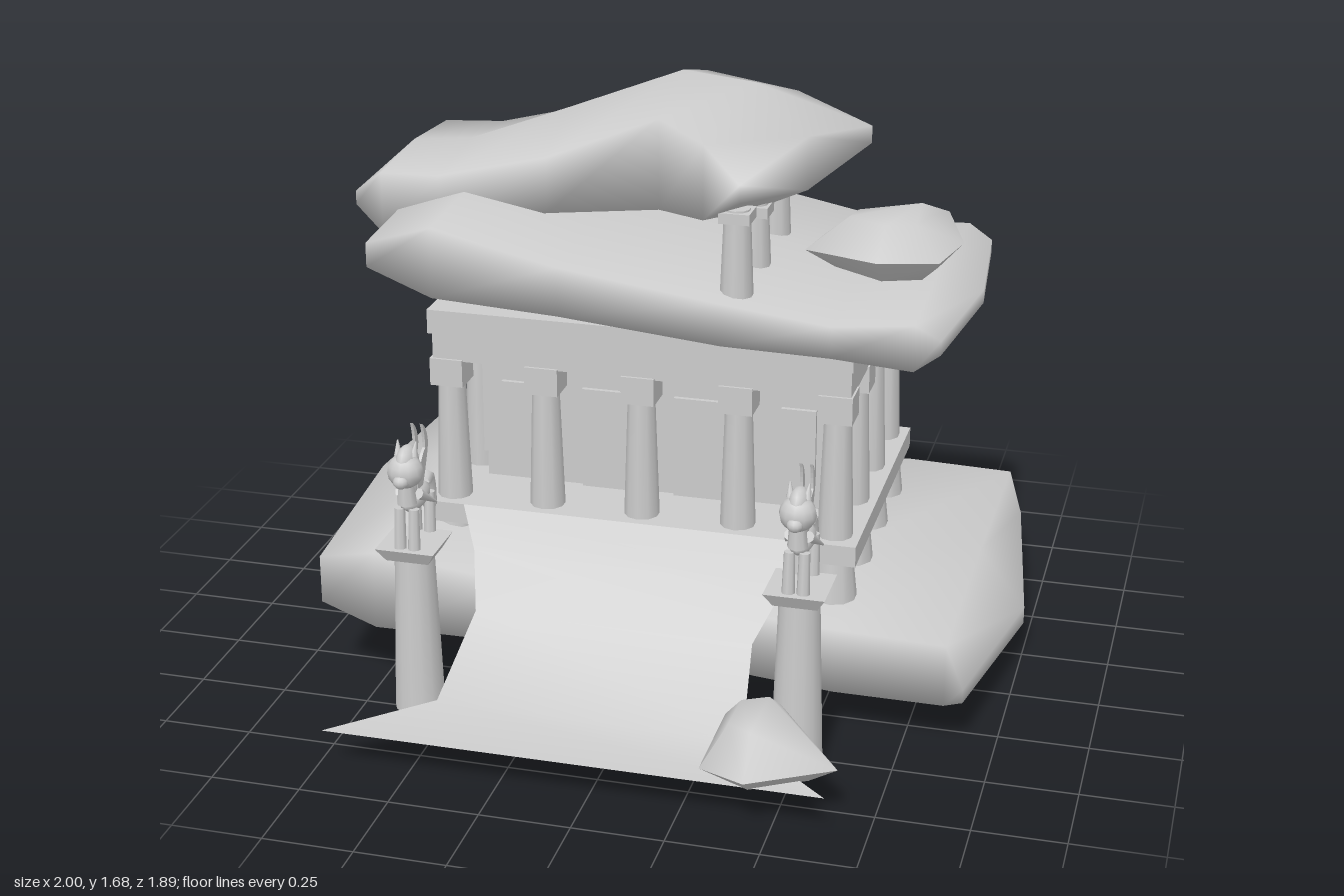
import * as THREE from 'three';
import { toCreasedNormals } from 'three/addons/utils/BufferGeometryUtils.js';
import { ConvexGeometry } from 'three/addons/geometries/ConvexGeometry.js';

const stone = new THREE.MeshStandardMaterial({ color: 0xcccccc });
const sheet = new THREE.MeshStandardMaterial({ color: 0xcccccc, side: THREE.DoubleSide });

function add(parent, name, geometry, x = 0, y = 0, z = 0, material = stone) {
  const mesh = new THREE.Mesh(geometry, material);
  mesh.name = name;
  mesh.position.set(x, y, z);
  parent.add(mesh);
  return mesh;
}

// Box given by its limits on each axis
function block(parent, name, x0, x1, y0, y1, z0, z1) {
  add(parent, name, new THREE.BoxGeometry(x1 - x0, y1 - y0, z1 - z0),
    (x0 + x1) / 2, (y0 + y1) / 2, (z0 + z1) / 2);
}

// Smooth rough slab: six-point sections [frontX, frontZ, backX, backZ, top, ridge, side, keel, bow]
function slab(parent, name, stations) {
  const pos = [], index = [], n = 6;
  for (const [fx, fz, bx, bz, top, ridge, side, keel, bow = 0] of stations) {
    const mx = (fx + bx) / 2 + bow, mz = (fz + bz) / 2;
    pos.push(fx, top, fz, mx, ridge, mz, bx, top, bz, bx, side, bz, mx, keel, mz, fx, side, fz);
  }
  const last = (stations.length - 1) * n;
  for (let i = 0; i < last; i += n) {
    for (let j = 0; j < n; j++) {
      const a = i + j, b = i + (j + 1) % n;
      index.push(a, a + n, b + n, a, b + n, b);
    }
  }
  // End caps, split along the middle
  for (const [a, b, c] of [[0, 1, 4], [0, 4, 5], [1, 2, 3], [1, 3, 4]]) {
    index.push(a, b, c, last + a, last + c, last + b);
  }
  const g = new THREE.BufferGeometry();
  g.setAttribute('position', new THREE.Float32BufferAttribute(pos, 3));
  g.setIndex(index);
  g.computeVertexNormals();
  add(parent, name, g);
}

// Floating boulder: a waist outline, drawn in towards a top and a bottom
function boulder(parent, name, outline, top, bottom) {
  const waist = outline.map(p => new THREE.Vector3(...p));
  const mid = new THREE.Vector3();
  waist.forEach(p => mid.addScaledVector(p, 1 / waist.length));
  const ring = (k, y) => waist.map(p => {
    const q = p.clone().lerp(mid, k);
    q.y = y + (p.y - mid.y) * 0.3;
    return q;
  });
  const points = [...waist, ...ring(0.5, top - 0.01), ...ring(0.35, bottom + 0.01)];
  add(parent, name, toCreasedNormals(new ConvexGeometry(points), 1.3));
}

// Tapered rod between two points
function limb(parent, name, a, b, r0, r1) {
  const p = new THREE.Vector3(...a), d = new THREE.Vector3(...b).sub(p);
  const m = add(parent, name, new THREE.CylinderGeometry(r1, r0, d.length(), 8));
  m.position.copy(p).addScaledVector(d, 0.5);
  m.quaternion.setFromUnitVectors(new THREE.Vector3(0, 1, 0), d.normalize());
}

function ball(parent, name, x, y, z, sx, sy, sz) {
  add(parent, name, new THREE.SphereGeometry(1, 12, 8), x, y, z).scale.set(sx, sy, sz);
}

// Winged horse standing at the group's origin, facing +z
function createStatue() {
  const s = new THREE.Group();
  s.name = 'wingedHorseStatue';
  ball(s, 'body', 0, 0.125, -0.02, 0.034, 0.034, 0.08);
  limb(s, 'neck', [0, 0.13, 0.04], [0, 0.21, 0.045], 0.028, 0.02);
  ball(s, 'head', 0, 0.225, 0.045, 0.05, 0.048, 0.046);
  ball(s, 'muzzle', 0, 0.208, 0.08, 0.022, 0.02, 0.022);
  ball(s, 'mane', 0, 0.245, 0.03, 0.03, 0.048, 0.05);
  ball(s, 'hairBack', 0, 0.18, 0.01, 0.02, 0.06, 0.022);
  for (const side of [-1, 1]) {
    limb(s, 'ear', [side * 0.022, 0.265, 0.035], [side * 0.026, 0.305, 0.025], 0.012, 0.002);
    for (const z of [0.045, -0.08]) {
      limb(s, 'leg', [side * 0.02, 0.115, z], [side * 0.02, 0, z + 0.008], 0.015, 0.018);
    }
    // Raised wing
    const wing = new THREE.Shape();
    wing.moveTo(0.01, 0.14);
    wing.quadraticCurveTo(-0.02, 0.235, -0.065, 0.25);
    wing.quadraticCurveTo(-0.065, 0.29, -0.05, 0.325);
    wing.quadraticCurveTo(-0.085, 0.3, -0.088, 0.255);
    wing.quadraticCurveTo(-0.07, 0.2, -0.03, 0.14);
    const w = add(s, 'wing', new THREE.ExtrudeGeometry(wing, { depth: 0.008, bevelEnabled: false, curveSegments: 5 }),
      side * 0.014 + 0.004);
    w.rotation.y = -Math.PI / 2;
    limb(s, 'lowerFeather', [side * 0.025, 0.15, 0.02], [side * 0.05, 0.1, -0.05], 0.016, 0.003);
  }
  const tail = new THREE.CatmullRomCurve3([[0, 0.135, -0.085], [0, 0.145, -0.11], [0, 0.105, -0.128], [0, 0.055, -0.128]]
    .map(p => new THREE.Vector3(...p)));
  add(s, 'tail', new THREE.TubeGeometry(tail, 10, 0.022, 8));
  limb(s, 'tailTip', [0, 0.06, -0.128], [0, 0.01, -0.142], 0.022, 0.002);
  return s;
}

export function createModel() {
  const model = new THREE.Group();
  model.name = 'ruinedTemple';

  // Rock island under the temple
  slab(model, 'baseRock', [
    [-0.9, 0.43, -0.9, -0.94, 0.4, 0.38, 0.26, 0.22, -0.07],
    [-0.74, 0.43, -0.7, -0.95, 0.43, 0.46, 0.2, 0.05],
    [-0.36, 0.33, -0.35, -0.81, 0.34, 0.4, 0.15, 0.05],
    [0.1, 0.28, 0.1, -0.79, 0.31, 0.36, 0.13, 0.04],
    [0.55, 0.33, 0.55, -0.88, 0.31, 0.32, 0.12, 0.02],
    [0.86, 0.35, 0.87, -0.86, 0.31, 0.32, 0.13, 0],
    [0.91, 0.34, 0.91, -0.85, 0.18, 0.15, 0.14, 0.1, 0.09]]);

  // Broken lower roof
  slab(model, 'lowerRoof', [
    [-0.8, 0.23, -0.79, -0.63, 1.27, 1.28, 1.2, 1.18, -0.02],
    [-0.61, 0.24, -0.6, -0.71, 1.33, 1.36, 1.13, 1.06],
    [-0.25, 0.24, -0.28, -0.83, 1.25, 1.29, 1.11, 1.05],
    [0.2, 0.22, 0.2, -0.78, 1.18, 1.21, 1.06, 1.04],
    [0.5, 0.21, 0.5, -0.73, 1.14, 1.16, 1.05, 1.03],
    [0.72, 0.2, 0.73, -0.7, 1.16, 1.2, 1.03, 1.01],
    [0.79, 0.19, 0.8, -0.68, 1.12, 1.12, 1.08, 1.08, 0.045]]);

  // Broken upper roof, bending towards the front
  slab(model, 'upperRoof', [
    [-0.95, -0.09, -0.9, -0.6, 1.31, 1.32, 1.27, 1.26],
    [-0.86, -0.06, -0.86, -0.62, 1.38, 1.4, 1.2, 1.17],
    [-0.68, -0.04, -0.68, -0.62, 1.39, 1.42, 1.22, 1.2],
    [-0.37, -0.06, -0.4, -0.62, 1.46, 1.53, 1.3, 1.27],
    [-0.05, -0.08, -0.05, -0.62, 1.59, 1.66, 1.33, 1.29],
    [0.12, 0.1, 0.25, -0.5, 1.58, 1.68, 1.37, 1.31],
    [0.26, 0.27, 0.49, -0.37, 1.53, 1.58, 1.48, 1.43]]);

  // Temple floor, inner hall and beams
  block(model, 'floorSlab', -0.65, 0.58, 0.44, 0.5, -0.68, 0.2);
  block(model, 'hallWall', -0.55, 0.47, 0.5, 0.92, -0.57, -0.025);
  block(model, 'lowerBeam', -0.64, 0.55, 0.92, 1.0, -0.66, 0.165);
  block(model, 'upperBeam', -0.65, 0.555, 1.0, 1.07, -0.67, 0.175);

  // Raised panels on all four hall walls
  for (const [x0, x1, y0] of [[-0.5, -0.4, 0.59], [-0.26, -0.1, 0.5], [0.01, 0.18, 0.5], [0.32, 0.42, 0.59]]) {
    block(model, 'frontPanel', x0, x1, y0, 0.8, -0.04, -0.012);
    block(model, 'backPanel', x0, x1, 0.57, 0.84, -0.583, -0.56);
  }
  for (const z of [-0.075, -0.235, -0.475]) {
    block(model, 'sidePanel', -0.563, 0.483, 0.57, 0.84, z - 0.045, z + 0.045);
  }

  // Colonnade around the hall, with a footing below every column
  const shaft = new THREE.CylinderGeometry(0.038, 0.05, 0.36, 10);
  const footing = new THREE.CylinderGeometry(0.05, 0.07, 0.18, 10);
  const capital = new THREE.BoxGeometry(0.095, 0.08, 0.095);
  for (let i = 0; i < 5; i++) {
    for (let j = 0; j < 4; j++) {
      if (i % 4 && j % 3) continue;
      const x = -0.6 + i * 0.277, z = 0.125 - j * 0.245;
      add(model, 'columnShaft', shaft, x, 0.68, z);
      add(model, 'columnCapital', capital, x, 0.885, z);
      add(model, 'columnFooting', footing, x, 0.36, z);
    }
  }

  // Broken columns between the two roofs
  for (const [z, top] of [[0.12, 1.42], [-0.1, 1.37], [-0.36, 1.39]]) {
    add(model, 'roofColumn', new THREE.CylinderGeometry(0.036, 0.048, top - 1.12, 10), 0.22, (top + 1.12) / 2, z);
    add(model, 'roofColumnCapital', new THREE.BoxGeometry(0.085, 0.03, 0.085), 0.22, top - 0.02, z);
  }

  // Ramp with a flat, flared foot: rows of left x, right x, y, z
  const rows = [[-0.55, 0.46, 0.5, 0.2], [-0.48, 0.41, 0.42, 0.32], [-0.435, 0.35, 0.3, 0.45],
    [-0.48, 0.375, 0.125, 0.66], [-0.73, 0.64, 0.115, 0.88]];
  const ramp = new THREE.BufferGeometry(), index = [];
  ramp.setAttribute('position', new THREE.Float32BufferAttribute(rows.flatMap(([l, r, y, z]) => [l, y, z, r, y, z]), 3));
  for (let k = 0; k < (rows.length - 1) * 2; k += 2) index.push(k, k + 2, k + 3, k, k + 3, k + 1);
  ramp.setIndex(index);
  ramp.computeVertexNormals();
  add(model, 'ramp', ramp, 0, 0, 0, sheet);

  // Pedestals with statues beside the ramp
  for (const x of [-0.585, 0.49]) {
    const p = new THREE.Group();
    p.name = 'statuePedestal';
    p.position.set(x, 0, 0.51);
    add(p, 'pedestalShaft', new THREE.CylinderGeometry(0.055, 0.07, 0.47, 14), 0, 0.255, 0);
    const cap = new THREE.CylinderGeometry(0.083 * Math.SQRT2, 0.06 * Math.SQRT2, 0.04, 4).rotateY(Math.PI / 4);
    add(p, 'pedestalCap', toCreasedNormals(cap, 0.5), 0, 0.505, 0);
    const statue = createStatue();
    statue.position.y = 0.525;
    p.add(statue);
    model.add(p);
  }

  // Floating boulders
  boulder(model, 'leftBoulder', [[-0.96, 1.04, -0.85], [-0.85, 1.03, -0.86], [-0.73, 1.01, -0.82],
    [-0.72, 1.0, -0.67], [-0.9, 1.0, -0.49], [-1, 1.01, -0.6]], 1.09, 0.95);
  boulder(model, 'highBoulder', [[0.43, 1.36, 0.24], [0.46, 1.37, 0.13], [0.78, 1.44, 0.07],
    [0.84, 1.4, 0.2], [0.8, 1.39, 0.35], [0.65, 1.4, 0.42]], 1.48, 1.32);
  boulder(model, 'lowBoulder', [[0.3, 0.13, 0.84], [0.32, 0.18, 0.63], [0.46, 0.2, 0.58],
    [0.66, 0.16, 0.81], [0.44, 0.16, 0.94]], 0.27, 0.1);
  return model;
}
